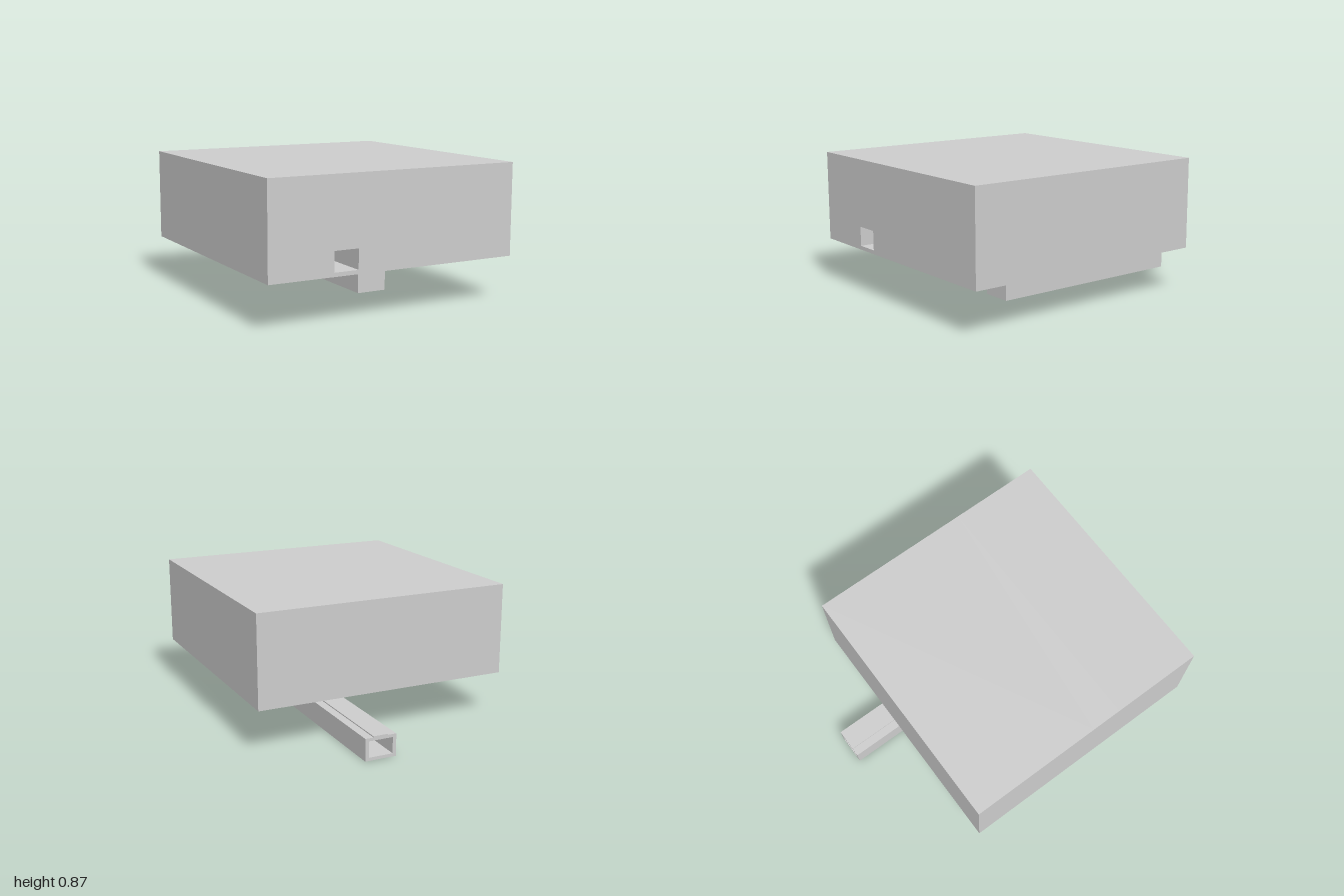
import * as THREE from 'three';

const material = new THREE.MeshStandardMaterial({ color: 0xcccccc, flatShading: true });

// Solid block given by its limits on each axis
function block(name, [x0, x1], [y0, y1], [z0, z1]) {
  const mesh = new THREE.Mesh(new THREE.BoxGeometry(x1 - x0, y1 - y0, z1 - z0), material);
  mesh.position.set((x0 + x1) / 2, (y0 + y1) / 2, (z0 + z1) / 2);
  mesh.name = name;
  return mesh;
}

// Block pierced along z by a rectangular opening
function piercedBlock(name, [x0, x1], [y0, y1], [z0, z1], [hx0, hx1], [hy0, hy1]) {
  const corners = (a, b, c, d) => [[a, c], [b, c], [b, d], [a, d]].map(p => new THREE.Vector2(...p));
  const shape = new THREE.Shape(corners(x0, x1, y0, y1));
  shape.holes.push(new THREE.Path(corners(hx0, hx1, hy0, hy1).reverse()));
  const geometry = new THREE.ExtrudeGeometry(shape, { depth: z1 - z0, bevelEnabled: false });
  const mesh = new THREE.Mesh(geometry, material);
  mesh.position.z = z0;
  mesh.name = name;
  return mesh;
}

export function createModel() {
  const model = new THREE.Group();
  model.name = 'blockWithDuct';

  // Main body with a blind square passage that narrows slightly inside
  const body = new THREE.Group();
  body.name = 'body';
  const bx = [-0.835, 0.835], by = [0.285, 0.87], hy = [0.31, 0.435];
  body.add(
    piercedBlock('bodyFront', bx, by, [0.4, 1], [-0.42, -0.26], hy),
    piercedBlock('bodyMiddle', bx, by, [0.2, 0.4], [-0.41, -0.26], hy),
    block('bodyRear', bx, by, [-0.67, 0.2])
  );

  // Square duct: open at the back, closed at the front
  const duct = new THREE.Group();
  duct.name = 'duct';
  const dx = [0.105, 0.308], dy = [0, 0.141];
  duct.add(
    piercedBlock('ductTube', dx, dy, [-1, 0.36], [0.128, 0.285], [0.02, 0.122]),
    block('ductEnd', dx, dy, [0.36, 0.39]),
    block('ductRidge', [0.16, 0.255], [0.13, 0.148], [-1, 0.36])
  );

  // Neck joining the duct to the body
  const neck = block('neck', [0.16, 0.255], [0.141, 0.285], [0.3, 0.39]);

  model.add(body, duct, neck);
  return model;
}
